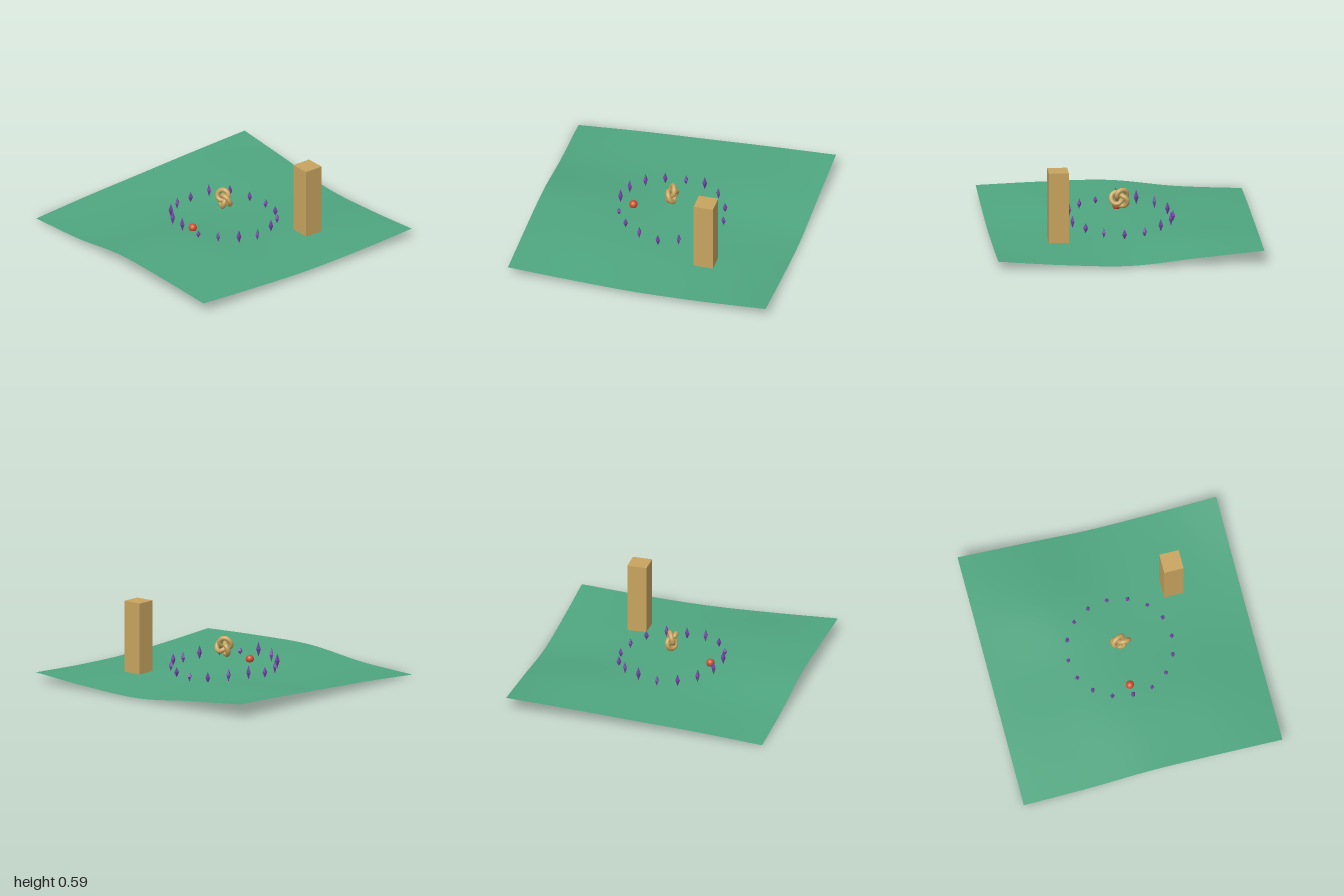
import * as THREE from 'three';

const material = (name, color, extra = {}) => {
  const m = new THREE.MeshStandardMaterial({ color, ...extra });
  m.name = name;
  return m;
};

// Control heights of the land: rows run z = -1..1, columns x = -1..1
const heights = [
  [0.105, 0.06, 0.012, 0.03, 0.07],
  [0.085, 0.08, 0.04, 0.046, 0.045],
  [0.06, 0.055, 0.06, 0.06, 0.035],
  [0.035, 0.045, 0.085, 0.09, 0.05],
  [0, 0.03, 0.09, 0.09, 0.075],
];

// Smooth interpolation through five evenly spaced values, t in -1..1
function smooth(v, t) {
  const u = (t + 1) * 2;
  const i = Math.min(3, Math.max(0, Math.floor(u)));
  const f = u - i;
  const at = (k) => (k < 0 ? 2 * v[0] - v[1] : k > 4 ? 2 * v[4] - v[3] : v[k]);
  const [a, b, c, d] = [at(i - 1), at(i), at(i + 1), at(i + 2)];
  return b + 0.5 * f * (c - a + f * (2 * a - 5 * b + 4 * c - d + f * (3 * (b - c) + d - a)));
}

const landHeight = (x, z) => Math.max(0, smooth(heights.map((row) => smooth(row, x)), z));

// Centre height and length of each crystal, from +x round towards +z
const crystals = [
  [0.1, 0.1], [0.12, 0.11], [0.125, 0.08], [0.125, 0.06],
  [0.155, 0.115], [0.14, 0.115], [0.125, 0.11], [0.11, 0.1],
  [0.1, 0.085], [0.12, 0.11], [0.11, 0.1], [0.085, 0.09],
  [0.078, 0.08], [0.085, 0.08], [0.1, 0.08], [0.115, 0.1],
];

export function createModel() {
  const model = new THREE.Group();
  const green = material('meadow green', 0x4fa680, { side: THREE.DoubleSide });
  const sand = material('sandstone', 0xc8a45f);
  const purple = material('crystal purple', 0x7447a8, { flatShading: true });
  const red = material('ember red', 0xd0502e);

  const add = (name, geometry, mat, x, y, z, parent = model) => {
    const mesh = new THREE.Mesh(geometry, mat);
    mesh.name = name;
    mesh.position.set(x, y, z);
    parent.add(mesh);
    return mesh;
  };

  // Rolling sheet of land
  const land = new THREE.PlaneGeometry(2, 2, 48, 48).rotateX(-Math.PI / 2);
  const p = land.attributes.position;
  for (let i = 0; i < p.count; i++) p.setY(i, landHeight(p.getX(i), p.getZ(i)));
  land.computeVertexNormals();
  add('terrain', land, green, 0, 0, 0);

  // Square tower, sunk slightly into the land
  add('tower', new THREE.BoxGeometry(0.15, 0.55, 0.15), sand, 0.5, 0.315, -0.4);

  // Floating trefoil knot
  add('knot', new THREE.TorusKnotGeometry(0.045, 0.018, 128, 16), sand, 0, 0.245, 0);

  // Half-buried ball
  add('ball', new THREE.SphereGeometry(0.031, 32, 20), red, 0, 0.097, 0.3);

  // Ring of crystals
  const ring = new THREE.Group();
  ring.name = 'crystalRing';
  model.add(ring);
  const gem = new THREE.OctahedronGeometry(1);
  crystals.forEach(([y, length], i) => {
    const a = (i / crystals.length) * Math.PI * 2;
    const crystal = add('crystal', gem, purple, 0.4 * Math.cos(a), y, 0.4 * Math.sin(a), ring);
    crystal.scale.set(0.018, length / 2, 0.018);
    crystal.rotation.y = i * 0.9;
  });

  return model;
}
